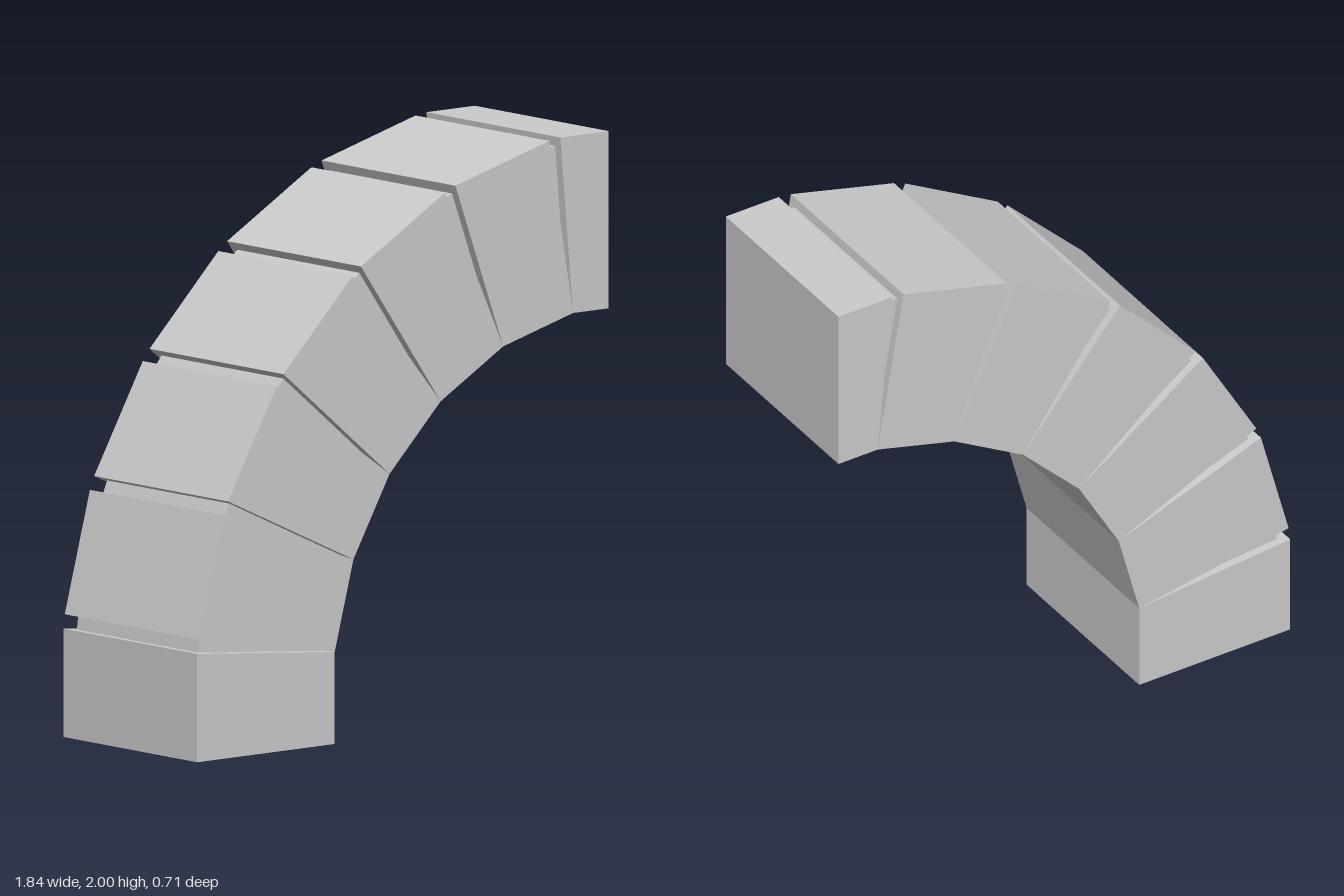
import * as THREE from 'three';

const THICK = 0.615;   // radial thickness of the duct
const SIDE = 0.323;    // inner length of each bend segment
const FLARE = 0.056;   // how far each segment widens toward the outside
const HALF = 0.357;    // half depth of the segments
const CORE_HALF = 0.325;
const INSET = 0.055;   // core recess as a fraction of the thickness

export function createModel() {
  const model = new THREE.Group();
  const material = new THREE.MeshStandardMaterial({ color: 0xcccccc });

  // Prism with the given outline in xy, centred on z = 0
  const addPrism = (name, points, half) => {
    const geometry = new THREE.ExtrudeGeometry(new THREE.Shape(points), { depth: half * 2, bevelEnabled: false });
    geometry.translate(0, 0, -half);
    const mesh = new THREE.Mesh(geometry, material);
    mesh.name = name;
    model.add(mesh);
  };

  // Walk along the inner edge, turning 15 degrees at each joint
  let inner = new THREE.Vector2(-0.305, 0);
  let previousOuter = null;
  for (let i = 0; i <= 6; i++) {
    const angle = THREE.MathUtils.degToRad(15 * i);
    const along = new THREE.Vector2(Math.sin(angle), Math.cos(angle));
    const outward = new THREE.Vector2(-Math.cos(angle), Math.sin(angle));
    const first = i === 0, last = i === 6;
    const length = first ? 0.32 : last ? 0.16 : SIDE;

    const next = inner.clone().addScaledVector(along, length);
    const outerStart = inner.clone().addScaledVector(outward, THICK).addScaledVector(along, first ? 0 : -FLARE);
    const outerEnd = next.clone().addScaledVector(outward, THICK).addScaledVector(along, last ? 0 : FLARE);
    // Flared ends overlap the joint line, leaving a narrow wedge gap between neighbours
    addPrism(first ? 'baseSegment' : last ? 'endSegment' : `bendSegment${i}`,
      [inner, next, outerEnd, outerStart], HALF);

    // Recessed core filling the gap to the previous segment
    if (previousOuter) {
      addPrism(`jointCore${i}`,
        [inner, outerStart.clone().lerp(inner, INSET), previousOuter.clone().lerp(inner, INSET)], CORE_HALF);
    }
    previousOuter = outerEnd;
    inner = next;
  }
  return model;
}
